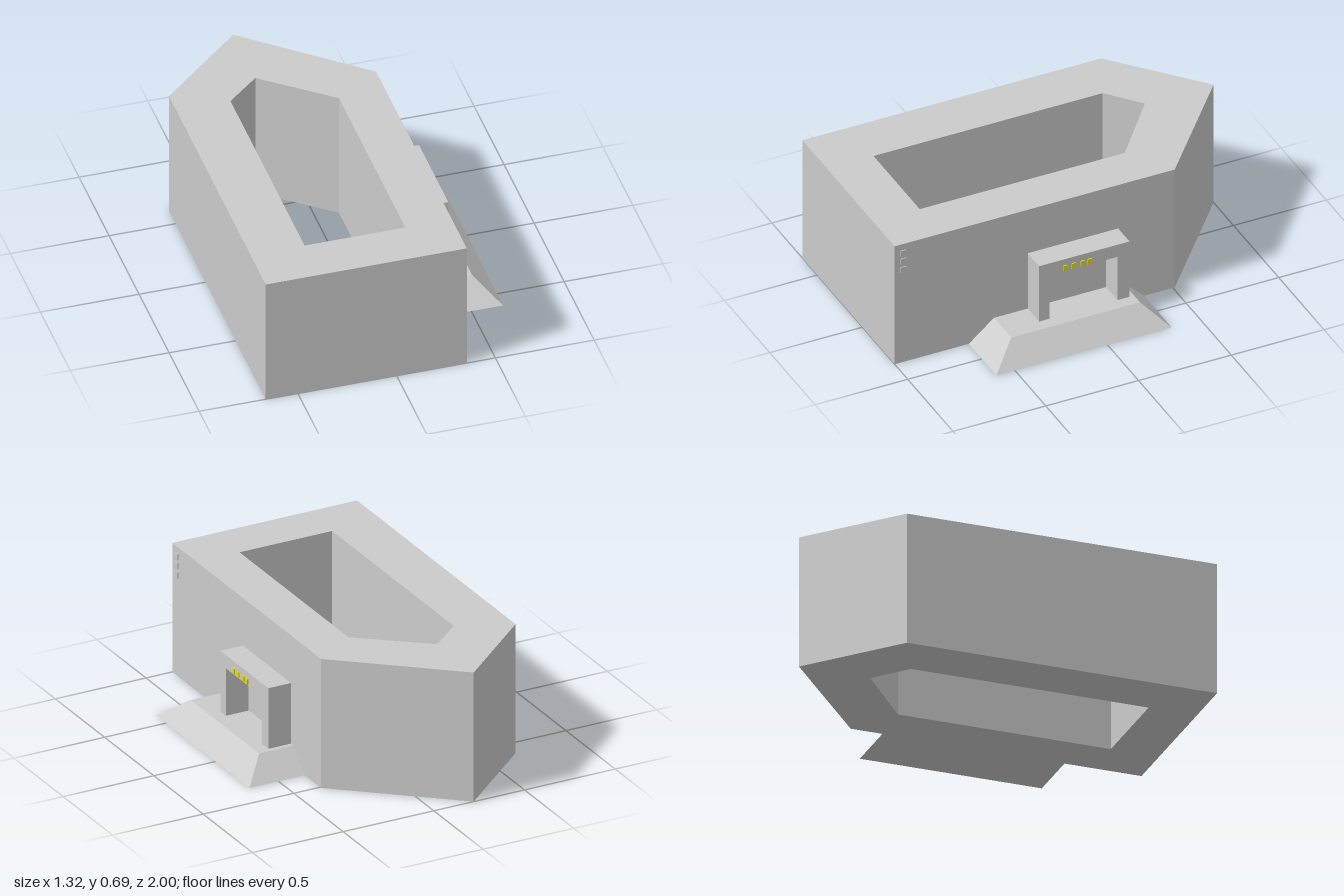
import * as THREE from 'three';

const grey = new THREE.MeshStandardMaterial({ color: 0xcccccc, flatShading: true });
const yellow = new THREE.MeshStandardMaterial({ color: 0xe6e000, flatShading: true });

function add(group, name, geometry, material = grey) {
  const mesh = new THREE.Mesh(geometry, material);
  mesh.name = name;
  group.add(mesh);
  return mesh;
}

const points = (list) => list.map(([a, b]) => new THREE.Vector2(a, b));

function extrude(shape, depth) {
  return new THREE.ExtrudeGeometry(shape, { depth, bevelEnabled: false });
}

export function createModel() {
  const model = new THREE.Group();
  model.name = 'building';
  const wallX = 0.355;

  // Five-sided block around an open courtyard, plan given as (x, -z)
  const plan = new THREE.Shape(points([
    [-0.663, -1], [wallX, -1], [wallX, 0.51], [-0.22, 1], [-0.663, 0.61],
  ]));
  plan.holes.push(new THREE.Path(points([
    [-0.39, -0.75], [-0.39, 0.485], [-0.22, 0.63], [0.12, 0.355], [0.12, -0.75],
  ])));
  add(model, 'mainBlock', extrude(plan, 0.69).rotateX(-Math.PI / 2));

  // Entrance platform: a box whose top is drawn in on three sides
  const platform = new THREE.BoxGeometry(0.305, 0.112, 0.945);
  platform.translate(wallX + 0.1525, 0.056, 0.1275);
  const p = platform.attributes.position;
  for (let i = 0; i < p.count; i++) {
    if (p.getY(i) < 0.05) continue;
    if (p.getX(i) > 0.5) p.setX(i, 0.545);
    p.setZ(i, p.getZ(i) > 0 ? 0.465 : -0.23);
  }
  platform.computeVertexNormals();
  add(model, 'entrancePlatform', platform);

  // Doorway frame, outline given as (-z, y) and extruded along x
  const frame = new THREE.Shape(points([
    [-0.282, 0.112], [-0.225, 0.112], [-0.225, 0.365], [0.14, 0.365],
    [0.14, 0.112], [0.205, 0.112], [0.205, 0.436], [-0.282, 0.436],
  ]));
  add(model, 'doorwayFrame', extrude(frame, 0.125).rotateY(Math.PI / 2))
    .position.x = wallX;

  // Small plain tiles over the doorway
  for (const z of [0.143, 0.097, 0.048, 0.01]) {
    add(model, 'doorwayTile', new THREE.BoxGeometry(0.006, 0.03, 0.022), yellow)
      .position.set(0.483, 0.386, z);
  }

  // Small plain tiles stacked at the wall corner
  for (const y of [0.542, 0.591, 0.639]) {
    add(model, 'cornerTile', new THREE.BoxGeometry(0.005, 0.032, 0.03))
      .position.set(wallX + 0.002, y, 0.953);
  }

  return model;
}
